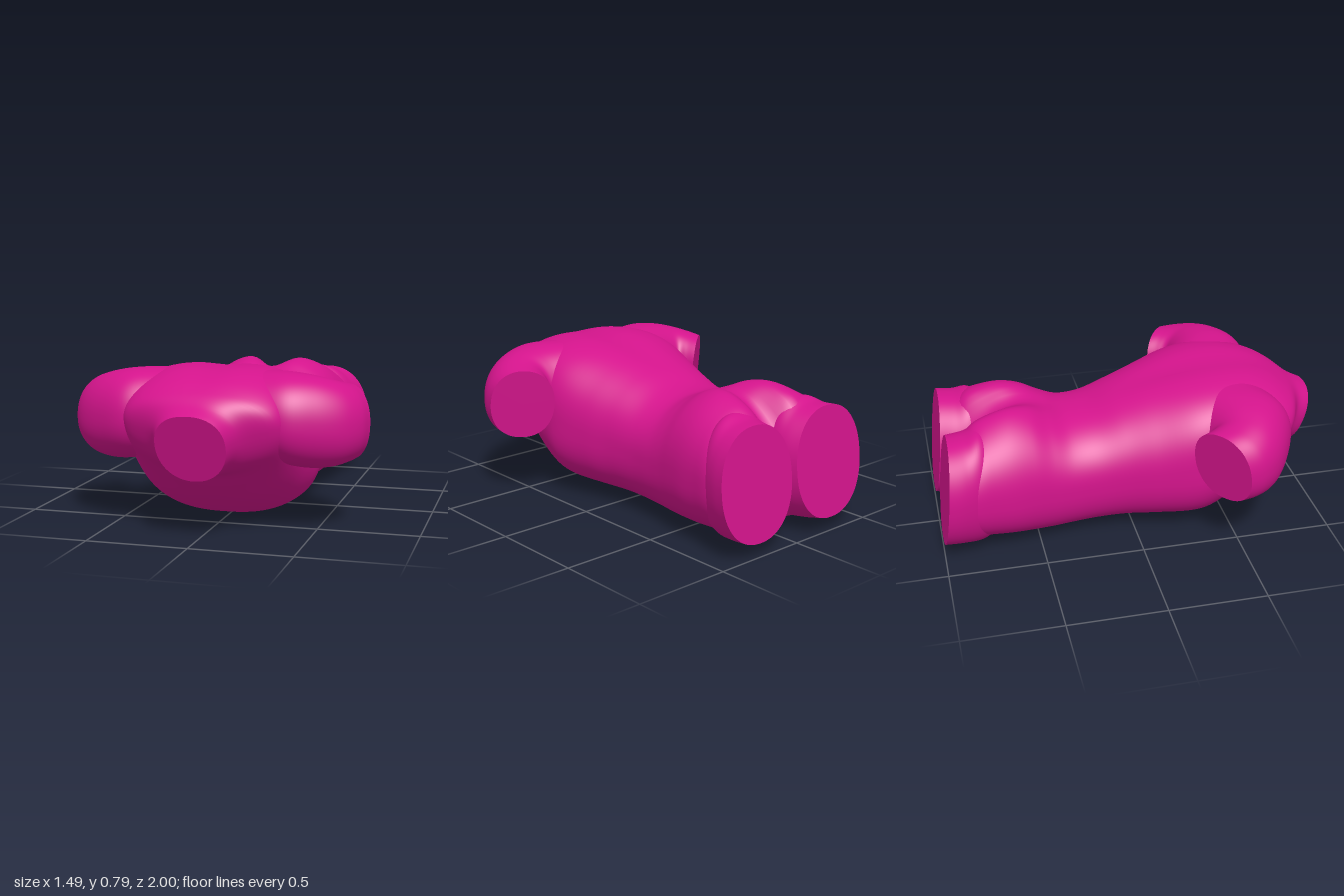
import * as THREE from 'three';

const SIDES = 112;
const STEPS = 7; // subdivisions between neighbouring cross-sections
const material = new THREE.MeshStandardMaterial({ color: 0xd4148c, roughness: 0.8 });

// Rounded cross-section spanned by a horizontal half-axis (ux, uz) around (cx, cz).
// Height runs yb..yt, widest at ym; tilt leans the section in z towards its bottom.
// grooveTop and grooveBottom pinch the section along its middle line.
function ring({ cx = 0, cz, ux, uz = 0, yb, ym, yt, tilt = 0,
  powerTop = 2.2, powerBottom = powerTop, grooveTop = 0, grooveBottom = 0 }) {
  const points = [];
  for (let i = 0; i < SIDES; i++) {
    const a = (i / SIDES) * Math.PI * 2;
    const upper = Math.sin(a) > 0;
    const soft = (v) => Math.sign(v) * Math.abs(v) ** (2 / (upper ? powerTop : powerBottom));
    const x = cx + ux * soft(Math.cos(a));
    const pinch = 1 - (upper ? grooveTop : grooveBottom) * Math.exp(-((x / 0.09) ** 2));
    const y = ym + soft(Math.sin(a)) * pinch * (upper ? yt - ym : ym - yb);
    points.push(new THREE.Vector3(x, y, cz + uz * soft(Math.cos(a)) - tilt * (yt - y)));
  }
  return points;
}

// Smooth skin through the rings, closed by a flat cap at each end.
function loft(rings) {
  const rows = (rings.length - 1) * STEPS + 1;
  const columns = Array.from({ length: SIDES }, (_, i) =>
    new THREE.CatmullRomCurve3(rings.map((r) => r[i])).getPoints(rows - 1));
  const positions = [];
  const index = [];
  for (let r = 0; r < rows; r++) {
    for (let i = 0; i < SIDES; i++) positions.push(...columns[i][r].toArray());
  }
  for (let r = 0; r < rows - 1; r++) {
    for (let i = 0; i < SIDES; i++) {
      const j = (i + 1) % SIDES;
      const a = r * SIDES + i, b = r * SIDES + j;
      index.push(a, b, b + SIDES, a, b + SIDES, a + SIDES);
    }
  }
  // caps own their vertices, so the cut edges stay sharp
  for (const r of [0, rows - 1]) {
    const start = positions.length / 3;
    const centre = new THREE.Vector3();
    for (let i = 0; i < SIDES; i++) {
      positions.push(...columns[i][r].toArray());
      centre.addScaledVector(columns[i][r], 1 / SIDES);
    }
    positions.push(...centre.toArray());
    for (let i = 0; i < SIDES; i++) {
      const j = (i + 1) % SIDES;
      if (r === 0) index.push(start + SIDES, start + j, start + i);
      else index.push(start + SIDES, start + i, start + j);
    }
  }
  // turn the faces outwards if the enclosed volume is negative
  const at = (k) => new THREE.Vector3().fromArray(positions, k * 3);
  let volume = 0;
  for (let k = 0; k < index.length; k += 3) {
    volume += at(index[k]).dot(at(index[k + 1]).cross(at(index[k + 2])));
  }
  if (volume < 0) index.reverse();

  const geometry = new THREE.BufferGeometry();
  geometry.setAttribute('position', new THREE.Float32BufferAttribute(positions, 3));
  geometry.setIndex(index);
  geometry.computeVertexNormals();
  return geometry;
}

// Neck to seat: z, half width, bottom, widest height, top, tilt, groove on top, groove below
const TORSO = [
  [1.0, 0.17, 0.29, 0.46, 0.61, 0.34],
  [0.93, 0.215, 0.295, 0.48, 0.643, 0.34],
  [0.85, 0.37, 0.285, 0.52, 0.695, 0.3],
  [0.75, 0.42, 0.21, 0.52, 0.748, 0.2, 0.02],
  [0.62, 0.44, 0.11, 0.48, 0.785, 0.15, 0.03],
  [0.45, 0.465, 0.03, 0.42, 0.793, 0.08, 0.03],
  [0.3, 0.475, 0.024, 0.38, 0.777, 0, 0.03],
  [0.1, 0.43, 0.022, 0.36, 0.73, 0, 0.02],
  [-0.05, 0.39, 0.02, 0.35, 0.68],
  [-0.2, 0.37, 0.012, 0.33, 0.627],
  [-0.32, 0.373, 0.005, 0.32, 0.62],
  [-0.42, 0.385, 0, 0.32, 0.66, 0, 0.04],
  [-0.52, 0.405, 0.003, 0.33, 0.71, 0, 0.12],
  [-0.62, 0.425, 0.012, 0.33, 0.728, 0, 0.22],
  [-0.72, 0.438, 0.022, 0.34, 0.712, 0, 0.38, 0.05],
  [-0.8, 0.448, 0.04, 0.345, 0.68, 0.04, 0.6, 0.25],
  [-0.87, 0.44, 0.08, 0.35, 0.61, 0.07, 0.93, 0.9],
];

// Thigh: z, centre x, half width, bottom, widest height, top, tilt
const THIGH = [
  [-0.7, 0.2, 0.16, 0.08, 0.33, 0.6, 0],
  [-0.78, 0.218, 0.212, 0.045, 0.34, 0.652, 0.03],
  [-0.86, 0.234, 0.231, 0.052, 0.35, 0.632, 0.07],
  [-0.94, 0.252, 0.233, 0.07, 0.35, 0.63, 0.107],
];

// Middle of the back to the cut arm: outer x, outer z, inner x, inner z, bottom, top, tilt
const ARM = [
  [0, 0.72, 0, 0.22, 0.38, 0.765, 0],
  [0.24, 0.76, 0.24, 0.27, 0.37, 0.772, 0],
  [0.4, 0.785, 0.35, 0.31, 0.33, 0.772, 0],
  [0.54, 0.73, 0.42, 0.33, 0.315, 0.758, 0],
  [0.66, 0.645, 0.455, 0.335, 0.32, 0.735, -0.04],
  [0.723, 0.555, 0.472, 0.305, 0.33, 0.715, -0.08],
  [0.745, 0.47, 0.49, 0.26, 0.335, 0.7, -0.12],
];

const armRing = (s) => ([ox, oz, ix, iz, yb, yt, tilt]) => ring({
  cx: (s * (ox + ix)) / 2,
  cz: (oz + iz + tilt * (yt - yb)) / 2,
  ux: (s * (ox - ix)) / 2,
  uz: (oz - iz) / 2,
  yb, ym: (yb + yt) / 2, yt, tilt,
});

export function createModel() {
  const model = new THREE.Group();
  model.name = 'torsoSculpture';
  const add = (name, rings) => {
    const mesh = new THREE.Mesh(loft(rings), material);
    mesh.name = name;
    model.add(mesh);
  };

  // the back is broader and flatter between the shoulder blades
  add('torsoAndNeck', TORSO.map(([cz, ux, yb, ym, yt, tilt, grooveTop, grooveBottom]) =>
    ring({
      cz, ux, yb, ym, yt, tilt, grooveTop, grooveBottom,
      powerTop: 2.3 + 0.8 * Math.exp(-(((cz - 0.45) / 0.25) ** 2)),
      powerBottom: cz > 0.7 ? 2.1 : 2.5,
    })));

  // one continuous span from arm to arm
  add('shouldersAndArms', [
    ...ARM.slice(1).reverse().map(armRing(-1)),
    ...ARM.map(armRing(1)),
  ]);

  for (const [name, s] of [['leftThigh', 1], ['rightThigh', -1]]) {
    add(name, THIGH.map(([cz, cx, ux, yb, ym, yt, tilt]) =>
      ring({ cx: s * cx, cz, ux: s * ux, yb, ym, yt, tilt })));
  }
  return model;
}
